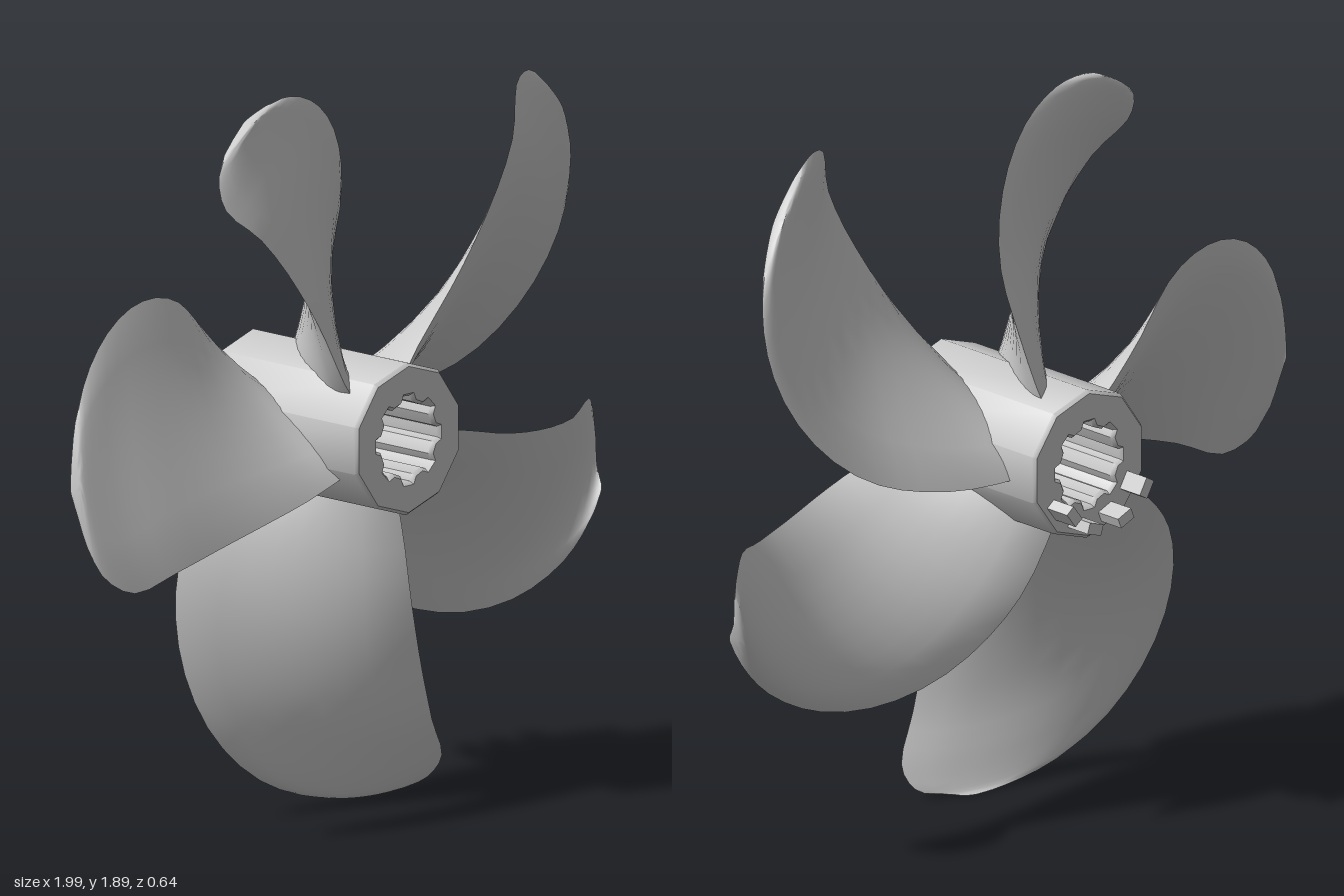
import * as THREE from 'three';
import { toCreasedNormals } from 'three/addons/utils/BufferGeometryUtils.js';

const mat = new THREE.MeshStandardMaterial({ color: 0xcccccc });
const RAD = Math.PI / 180;

// Blade edges as (radius, angle in degrees, z), from root to tip
const edge = (pts) => new THREE.CatmullRomCurve3(
  pts.map(([r, a, z]) => new THREE.Vector3(r, a * RAD, z)), false, 'centripetal');
const frontEdge = edge([[0.16, 138, 0.24], [0.4, 131, 0.27], [0.6, 129, 0.275], [0.8, 129, 0.26],
  [0.93, 130, 0.22], [0.99, 126, 0.18], [1.0, 119, 0.15], [1.0, 114, 0.13]]);
const backEdge = edge([[0.16, 64, -0.16], [0.38, 69, -0.13], [0.56, 74, -0.075], [0.74, 83, -0.015],
  [0.88, 93, 0.04], [0.96, 102, 0.08], [0.99, 109, 0.11], [1.0, 114, 0.13]]);

// Twisted lens-shaped sections lofted between the two edges.
// sweep and bulge turn the edges (degrees), rake and curl move them back in z
function bladeGeometry({ scale, sweep, ease, bulge, rake, curl }) {
  const rows = 21, n = 10, ring = 2 * n;
  const pos = [], index = [];
  const at = (p) => new THREE.Vector3(p.x * Math.cos(p.y), p.x * Math.sin(p.y), p.z);
  const bend = (u) => Math.sin(0.8 * Math.PI * u) ** 2;
  for (let k = 0; k <= rows; k++) {
    const u = k / rows;
    const f = frontEdge.getPoint(u), b = backEdge.getPoint(u);
    for (const p of [f, b]) {
      p.x = 0.16 + (p.x - 0.16) * (scale - 0.16) / 0.84;
      p.y += sweep * RAD * u ** ease;
      p.z -= rake * Math.sqrt(u);
    }
    b.y += bulge * RAD * Math.sin(Math.PI * u);
    f.z -= curl * bend(u);
    b.z -= curl * bend(1) * u ** 4;
    const mid = at(f.clone().lerp(b, 0.5)).setZ(0).normalize();
    const normal = at(b).sub(at(f)).cross(mid).normalize();
    const thick = k === rows ? 0 : 0.034 * (1 - 0.45 * u) + 0.02 * (1 - u) ** 6;
    for (let j = 0; j < ring; j++) {
      const front = j <= n;
      const v = front ? j / n : (ring - j) / n;
      const p = at(f.clone().lerp(b, v));
      const t = thick * Math.sqrt(Math.max(0, Math.sin(Math.PI * v)));
      p.addScaledVector(normal, front ? t * 0.7 : -t);
      pos.push(p.x, p.y, p.z);
    }
  }
  for (let k = 0; k < rows; k++) for (let j = 0; j < ring; j++) {
    const a = k * ring + j, b = k * ring + (j + 1) % ring;
    index.push(a, b, b + ring);
    if (k < rows - 1) index.push(a, b + ring, a + ring);
  }
  const g = new THREE.BufferGeometry();
  g.setAttribute('position', new THREE.Float32BufferAttribute(pos, 3));
  g.setIndex(index);
  return toCreasedNormals(g, 0.9);
}

export function createModel() {
  const model = new THREE.Group();
  model.name = 'propeller';
  const rotor = new THREE.Group();
  rotor.name = 'rotor';
  rotor.position.set(-0.01, 0.98, 0);
  model.add(rotor);

  // Five blades, each slightly bent in its own way: top, left, bottom, lower right, upper right
  const blades = [
    { scale: 0.965, sweep: 0, ease: 1, bulge: 0, rake: 0, curl: 0 },
    { scale: 0.985, sweep: -5, ease: 0.5, bulge: -6, rake: 0.06, curl: 0 },
    { scale: 0.985, sweep: 17, ease: 1, bulge: -9, rake: 0, curl: -0.01 },
    { scale: 1.025, sweep: 11, ease: 0.5, bulge: 2, rake: 0, curl: 0.17 },
    { scale: 1.05, sweep: 3, ease: 0.5, bulge: 0, rake: 0, curl: -0.02 },
  ];
  blades.forEach((b, i) => {
    const blade = new THREE.Mesh(bladeGeometry(b), mat);
    blade.name = `blade${i + 1}`;
    blade.rotation.z = i * 72 * RAD;
    rotor.add(blade);
  });

  // Hub with a notched bore
  const polar = (r, a) => new THREE.Vector2(r * Math.cos(a), r * Math.sin(a));
  const outline = Array.from({ length: 10 }, (_, i) => polar(0.203, (i + 0.5) * Math.PI / 5));
  const shape = new THREE.Shape(outline);
  const bore = [];
  for (let i = 0; i < 8; i++) {
    const a = i * Math.PI / 4;
    bore.push(polar(0.115, a - 0.12), polar(0.115, a + 0.12), polar(0.098, a + 0.22), polar(0.098, a + 0.56));
  }
  shape.holes.push(new THREE.Path(bore));
  const hubGeo = new THREE.ExtrudeGeometry(shape, {
    depth: 0.55, bevelEnabled: true, bevelThickness: 0.01, bevelSize: 0.008, bevelOffset: -0.008, bevelSegments: 1,
  });
  hubGeo.translate(0, 0, -0.24);
  const hub = new THREE.Mesh(toCreasedNormals(hubGeo, 0.7), mat);
  hub.name = 'hub';
  rotor.add(hub);

  // Short prongs behind the lower half of the hub
  [210, 247, 288, 322].forEach((deg, i) => {
    const prong = new THREE.Mesh(new THREE.BoxGeometry(0.03, 0.05, 0.09), mat);
    prong.name = `prong${i + 1}`;
    const p = polar(0.155, deg * RAD);
    prong.position.set(p.x, p.y, -0.28);
    prong.rotation.z = deg * RAD;
    rotor.add(prong);
  });
  return model;
}
